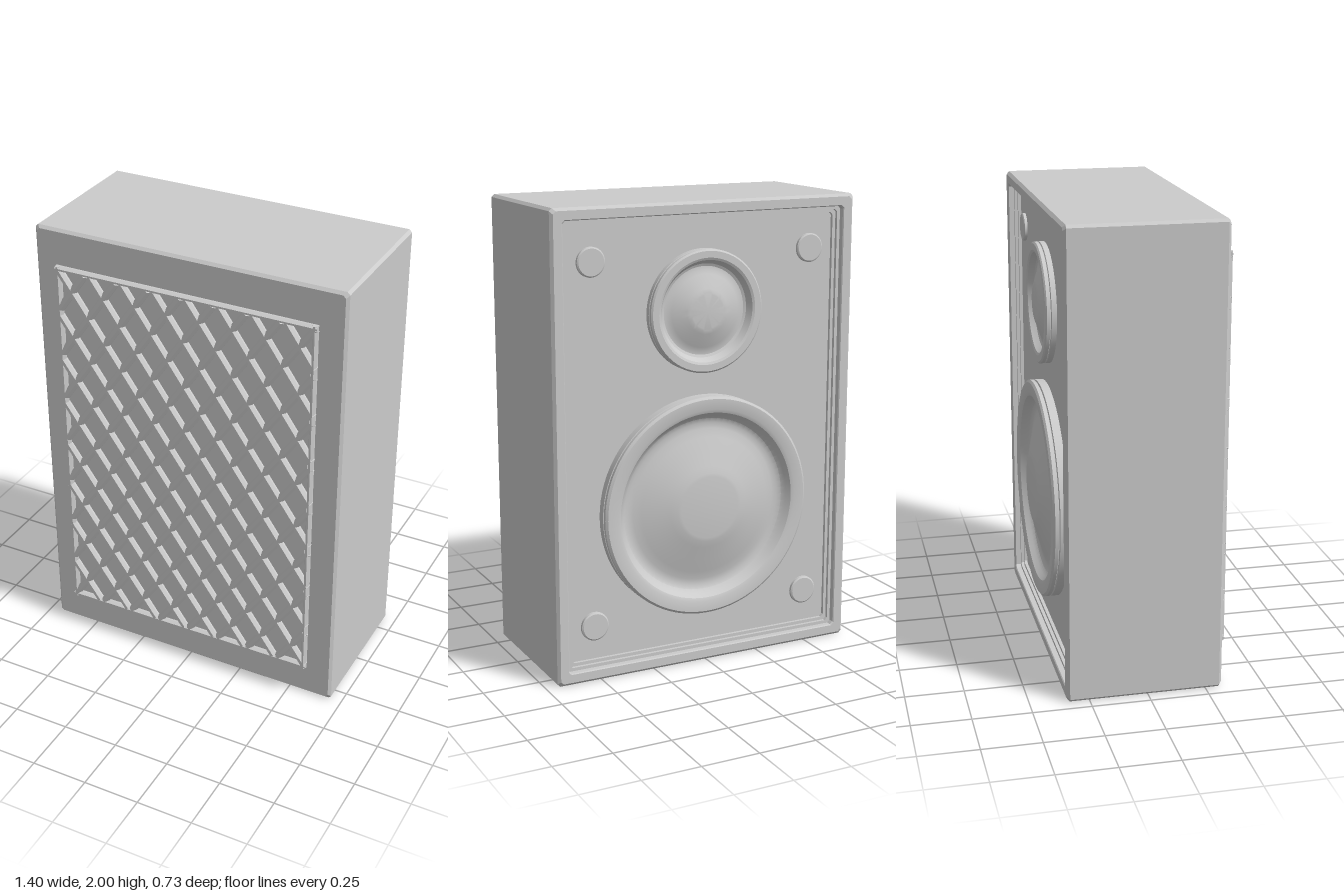
import * as THREE from 'three';
import { toCreasedNormals } from 'three/addons/utils/BufferGeometryUtils.js';

const material = new THREE.MeshStandardMaterial({ color: 0xcccccc });

function addMesh(parent, name, geometry) {
  const mesh = new THREE.Mesh(geometry, material);
  mesh.name = name;
  parent.add(mesh);
  return mesh;
}

// Rectangle loop with cut corners, anticlockwise seen from the front
function cutRect(inset, z, cut = 0.012) {
  const w = 0.7 - inset, h = 1 - inset;
  return [
    [w, -h + cut], [w, h - cut], [w - cut, h], [-w + cut, h],
    [-w, h - cut], [-w, -h + cut], [-w + cut, -h], [w - cut, -h],
  ].map(([x, y]) => [x, y + 1, z]);
}

// Closed skin through loops running from front to back
function skin(loops) {
  const pos = [];
  const tri = (...corners) => corners.forEach((c) => pos.push(...c));
  const n = loops[0].length;
  const first = loops[0], last = loops[loops.length - 1];
  for (let j = 1; j < n - 1; j++) {
    tri(first[0], first[j], first[j + 1]);
    tri(last[0], last[j + 1], last[j]);
  }
  for (let i = 0; i < loops.length - 1; i++) {
    for (let j = 0; j < n; j++) {
      const k = (j + 1) % n;
      const a = loops[i][j], b = loops[i][k], c = loops[i + 1][k], d = loops[i + 1][j];
      tri(a, d, b);
      tri(b, d, c);
    }
  }
  const geo = new THREE.BufferGeometry();
  geo.setAttribute('position', new THREE.Float32BufferAttribute(pos, 3));
  geo.computeVertexNormals();
  return geo;
}

// Turned part whose axis points to the back; profile is [radius, height]
function turned(profile, segments = 64) {
  const geo = new THREE.LatheGeometry(profile.map(([r, h]) => new THREE.Vector2(r, h)), segments);
  geo.rotateX(-Math.PI / 2);
  return toCreasedNormals(geo, 0.45);
}

// Straight strip with bevelled sides between two points of the grille plane
function strip(x0, y0, x1, y1, base, top) {
  const depth = 0.023;
  const section = new THREE.Shape([
    new THREE.Vector2(-base / 2, 0), new THREE.Vector2(base / 2, 0),
    new THREE.Vector2(base / 2, depth * 0.35), new THREE.Vector2(top / 2, depth),
    new THREE.Vector2(-top / 2, depth), new THREE.Vector2(-base / 2, depth * 0.35),
  ]);
  const geo = new THREE.ExtrudeGeometry(section, { depth: Math.hypot(x1 - x0, y1 - y0), bevelEnabled: false });
  const along = new THREE.Vector3(x1 - x0, y1 - y0, 0).normalize();
  const up = new THREE.Vector3(0, 0, 1);
  const side = new THREE.Vector3().crossVectors(up, along);
  geo.applyMatrix4(new THREE.Matrix4().makeBasis(side, up, along).setPosition(x0, y0, 0.337));
  return geo;
}

function createGrille() {
  const grille = new THREE.Group();
  grille.name = 'grille';
  const cells = 8, left = -0.59, bottom = 0.16, width = 1.18, height = 1.69;
  const px = width / cells, py = height / cells;
  const trim = 0.08; // keeps strip ends inside the border
  // Diagonal strips, mirrored to form the diamonds
  for (let i = 1 - cells; i < cells; i++) {
    const t0 = Math.max(0, -i) + trim, t1 = Math.min(cells, cells - i) - trim;
    for (const s of [1, -1]) {
      addMesh(grille, 'latticeStrip', strip(
        s * (left + (i + t0) * px), bottom + t0 * py,
        s * (left + (i + t1) * px), bottom + t1 * py, 0.034, 0.014));
    }
  }
  // Thin border
  const b = 0.024, e = b / 2, right = left + width, top = bottom + height;
  for (const x of [left + e, right - e]) {
    addMesh(grille, 'borderSide', strip(x, bottom, x, top, b, 0.008));
  }
  for (const y of [bottom + e, top - e]) {
    addMesh(grille, 'borderEnd', strip(left, y, right, y, b, 0.008));
  }
  return grille;
}

export function createModel() {
  const model = new THREE.Group();
  model.name = 'loudspeaker';
  const baffleZ = -0.29;

  // Cabinet with chamfered edges and a stepped recess at the back
  addMesh(model, 'cabinet', skin([
    cutRect(0.012, 0.32), cutRect(0, 0.308),
    cutRect(0, -0.333), cutRect(0.012, -0.345),
    cutRect(0.048, -0.345), cutRect(0.052, -0.341), cutRect(0.052, -0.318),
    cutRect(0.066, -0.318), cutRect(0.066, -0.304),
    cutRect(0.08, -0.304), cutRect(0.08, baffleZ),
  ]));

  model.add(createGrille());

  // Large driver: flange, surround trough, raised cone and flat cap
  addMesh(model, 'woofer', turned([
    [0.48, 0], [0.48, 0.035], [0.472, 0.038], [0.48, 0.042], [0.48, 0.057], [0.47, 0.065],
    [0.425, 0.065], [0.41, 0.059], [0.395, 0.04], [0.38, 0.025], [0.36, 0.018], [0.335, 0.02],
    [0.3, 0.03], [0.24, 0.048], [0.18, 0.064], [0.15, 0.073], [0.135, 0.075], [0, 0.075],
  ], 80)).position.set(0, 0.7, baffleZ);

  // Small driver
  addMesh(model, 'tweeter', turned([
    [0.26, 0], [0.26, 0.022], [0.255, 0.025], [0.26, 0.028], [0.26, 0.042], [0.253, 0.048],
    [0.225, 0.048], [0.215, 0.043], [0.207, 0.03], [0.198, 0.018], [0.187, 0.013], [0.172, 0.014],
    [0.155, 0.021], [0.12, 0.034], [0.095, 0.043], [0.08, 0.048], [0.072, 0.049], [0, 0.049],
  ])).position.set(0, 1.54, baffleZ);

  // Round pegs in the corners of the baffle
  for (const x of [-0.51, 0.51]) {
    for (const y of [0.227, 1.773]) {
      addMesh(model, 'cornerPeg', turned([
        [0.062, 0], [0.062, 0.012], [0.056, 0.016], [0, 0.016],
      ], 32)).position.set(x, y, baffleZ);
    }
  }
  return model;
}
